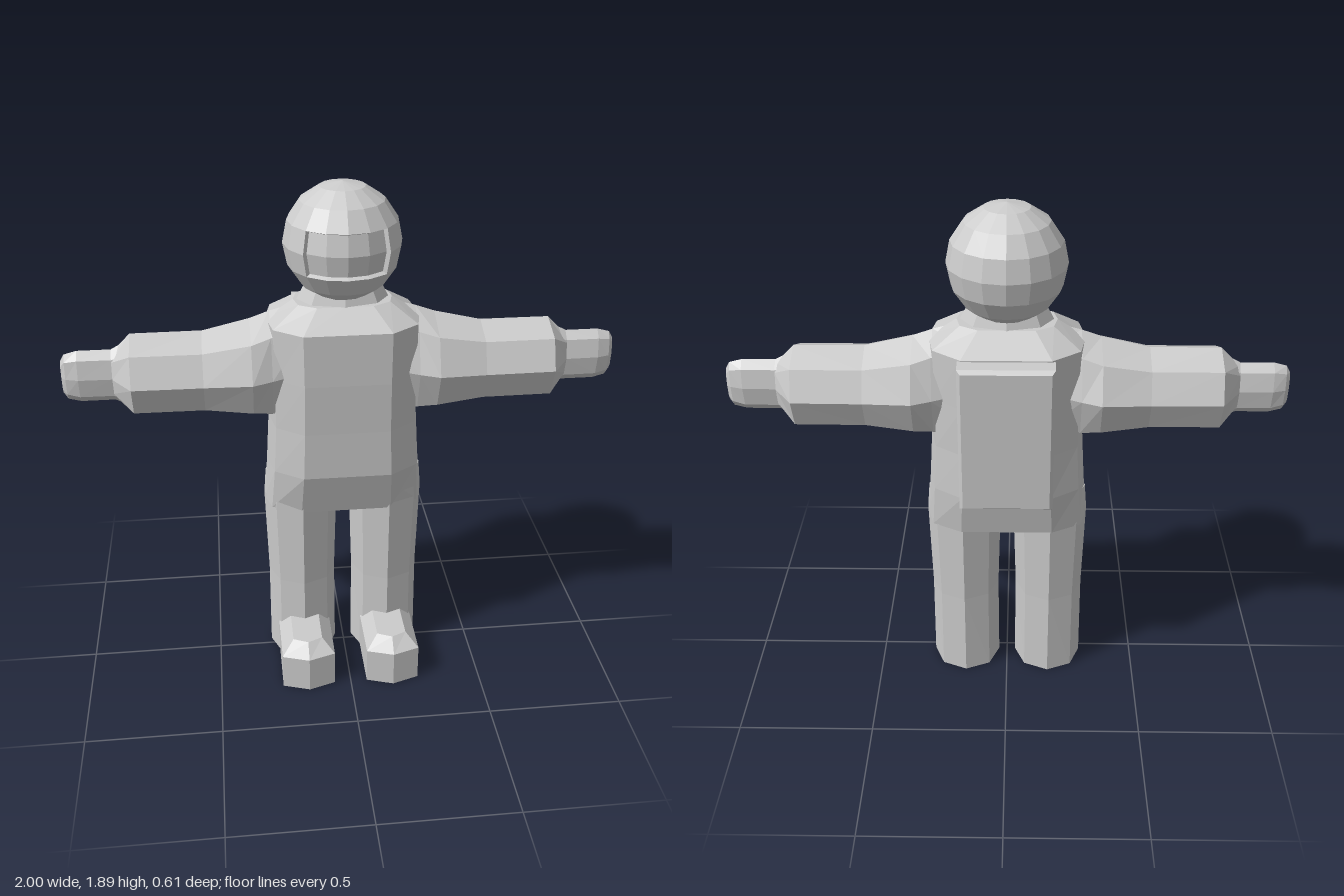
import * as THREE from 'three';
import { mergeGeometries } from 'three/addons/utils/BufferGeometryUtils.js';

const AXIS_Z = -0.03; // depth of the body's centre line
const material = new THREE.MeshStandardMaterial({ color: 0xcccccc, flatShading: true, side: THREE.DoubleSide });

function addMesh(parent, name, geometry) {
  const mesh = new THREE.Mesh(geometry, material);
  mesh.name = name;
  parent.add(mesh);
  return mesh;
}

// Skin a series of equal-length rings; caps are fans, faces turned outward by signed volume
function loft(rings, capped = true) {
  const tris = [];
  const n = rings[0].length;
  for (let i = 0; i + 1 < rings.length; i++) {
    for (let j = 0; j < n; j++) {
      const k = (j + 1) % n;
      const [a, b, c, d] = [rings[i][j], rings[i][k], rings[i + 1][k], rings[i + 1][j]];
      tris.push([a, b, c], [a, c, d]);
    }
  }
  if (capped) {
    const first = rings[0], last = rings[rings.length - 1];
    for (let j = 1; j + 1 < n; j++) {
      tris.push([first[0], first[j + 1], first[j]], [last[0], last[j], last[j + 1]]);
    }
  }
  let volume = 0;
  const cross = new THREE.Vector3();
  for (const [a, b, c] of tris) volume += a.dot(cross.crossVectors(b, c));
  const points = tris.flatMap((t) => (volume < 0 ? [t[0], t[2], t[1]] : t));
  const geometry = new THREE.BufferGeometry().setFromPoints(points);
  geometry.computeVertexNormals();
  return geometry;
}

// Eight-sided ring lying flat at height y
function flatRing(x, y, z, rx, rz) {
  return Array.from({ length: 8 }, (_, i) => {
    const a = (i * Math.PI) / 4;
    return new THREE.Vector3(x + rx * Math.cos(a), y, z + rz * Math.sin(a));
  });
}

// Eight-sided upright ring across the arm at distance x
function armRing(side, x, y, ry, rz) {
  return Array.from({ length: 8 }, (_, i) => {
    const a = (i * Math.PI) / 4;
    return new THREE.Vector3(side * x, y + ry * Math.cos(a), AXIS_Z + rz * Math.sin(a));
  });
}

// Torso ring: broad front and back panels with faceted flanks
function torsoRing([y, rx, front, back]) {
  const half = [[0.56, 1], [0.92, 0.62], [1, 0], [0.92, -0.62], [0.56, -1]];
  const place = (u, v) => new THREE.Vector3(u * rx, y, AXIS_Z + (v > 0 ? v * front : v * back));
  return [
    place(0, 1), ...half.map(([u, v]) => place(u, v)),
    place(0, -1), ...half.slice().reverse().map(([u, v]) => place(-u, v)),
  ];
}

function buildHead() {
  const head = new THREE.Group();
  head.name = 'head';
  head.position.set(0, 1.682, AXIS_Z);
  const R = 0.208, r = 0.19, step = Math.PI / 8;

  // Helmet shell with an opening at the front
  addMesh(head, 'helmet', mergeGeometries([
    new THREE.SphereGeometry(R, 16, 3, 0, Math.PI * 2, 0, 3 * step),
    new THREE.SphereGeometry(R, 12, 2, 6 * step, 12 * step, 3 * step, 2 * step),
    new THREE.SphereGeometry(R, 16, 3, 0, Math.PI * 2, 5 * step, 3 * step),
  ]));
  addMesh(head, 'visor', new THREE.SphereGeometry(r, 4, 2, 2 * step, 4 * step, 3 * step, 2 * step));

  // Wall between the opening and the recessed visor
  const border = [[2, 3], [3, 3], [4, 3], [5, 3], [6, 3], [6, 4], [6, 5], [5, 5], [4, 5], [3, 5], [2, 5], [2, 4]];
  const rim = (radius) => border.map(([p, t]) => new THREE.Vector3(
    -radius * Math.cos(p * step) * Math.sin(t * step),
    radius * Math.cos(t * step),
    radius * Math.sin(p * step) * Math.sin(t * step),
  ));
  addMesh(head, 'visorRim', loft([rim(R), rim(r)], false));
  return head;
}

function buildArm(side) {
  const arm = new THREE.Group();
  arm.name = side > 0 ? 'leftArm' : 'rightArm';
  // x, centre y, half height, half depth
  const sleeve = [
    [0.13, 1.245, 0.225, 0.12], [0.26, 1.23, 0.205, 0.155], [0.33, 1.226, 0.184, 0.178],
    [0.5, 1.218, 0.152, 0.155], [0.75, 1.218, 0.152, 0.152], [0.82, 1.215, 0.085, 0.045],
  ];
  const hand = [
    [0.74, 1.215, 0.13, 0.06], [0.77, 1.215, 0.125, 0.055], [0.82, 1.215, 0.098, 0.042],
    [0.94, 1.215, 0.098, 0.04], [0.985, 1.215, 0.086, 0.026], [1, 1.215, 0.06, 0.012],
  ];
  addMesh(arm, 'sleeve', loft(sleeve.map((s) => armRing(side, ...s))));
  addMesh(arm, 'hand', loft(hand.map((s) => armRing(side, ...s))));
  return arm;
}

function buildLeg(side) {
  const leg = new THREE.Group();
  leg.name = side > 0 ? 'leftLeg' : 'rightLeg';
  leg.position.x = side * 0.162;
  // y, half width, half depth
  const shin = [[0, 0.13, 0.13], [0.35, 0.128, 0.13], [0.7, 0.138, 0.142], [0.8, 0.13, 0.15]];
  addMesh(leg, 'trouserLeg', loft(shin.map(([y, rx, rz]) => flatRing(0, y, AXIS_Z, rx, rz))));

  // Boot with a pointed toe and bevelled top: y, half width, toe corner z, toe tip z
  const boot = [[0, 0.1, 0.272, 0.305], [0.14, 0.1, 0.272, 0.305], [0.185, 0.055, 0.225, 0.25]];
  addMesh(leg, 'boot', loft(boot.map(([y, w, corner, tip]) => [
    [-w, -0.03], [-w, corner], [0, tip], [w, corner], [w, -0.03],
  ].map(([x, z]) => new THREE.Vector3(x, y, z)))));
  return leg;
}

export function createModel() {
  const model = new THREE.Group();
  model.name = 'suitedFigure';

  // Torso: y, half width, depth to the front, depth to the back
  const torso = [
    [0.68, 0.298, 0.137, 0.147], [0.85, 0.285, 0.187, 0.182], [1.03, 0.274, 0.19, 0.185],
    [1.22, 0.272, 0.197, 0.195], [1.41, 0.275, 0.197, 0.2], [1.475, 0.175, 0.1, 0.1],
  ];
  addMesh(model, 'torso', loft(torso.map(torsoRing)));
  addMesh(model, 'neck', loft([
    flatRing(0, 1.45, AXIS_Z, 0.175, 0.11), flatRing(0, 1.53, AXIS_Z, 0.135, 0.085),
  ]));

  // Backpack: slab with a bevelled outer face, slightly thinner at the bottom
  const packRing = (z, inset, tilt) => [[-1, 0], [1, 0], [1, 1], [-1, 1]].map(([u, v]) =>
    new THREE.Vector3(u * (0.165 - inset), v ? 1.405 - inset : 0.85 + inset, z + (v ? 0 : tilt)));
  addMesh(model, 'backpack', loft([packRing(-0.15, 0, 0), packRing(-0.288, 0, 0.012), packRing(-0.304, 0.012, 0.012)]));

  model.add(buildHead());
  for (const side of [1, -1]) model.add(buildArm(side), buildLeg(side));
  return model;
}
